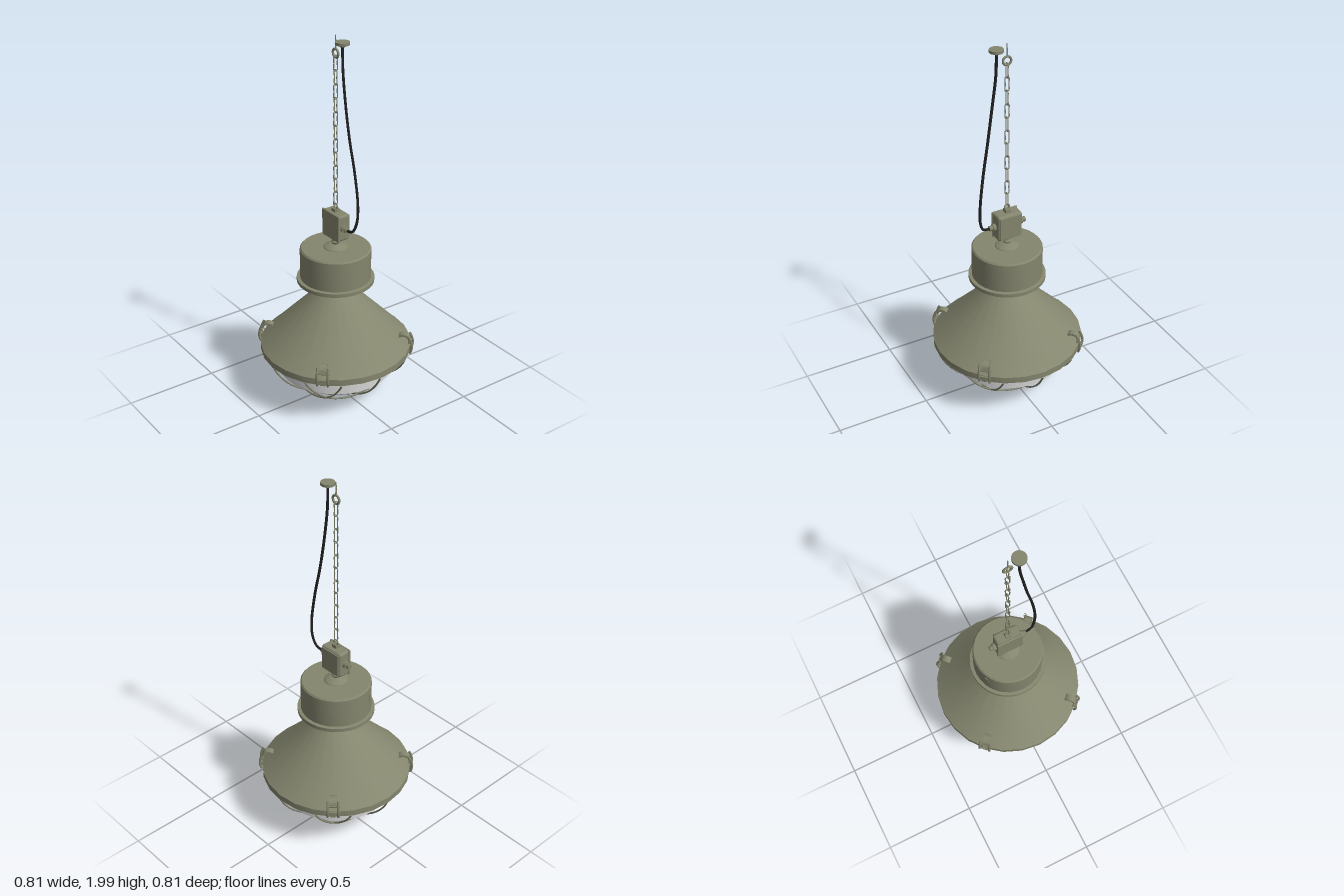
import * as THREE from 'three';
import { toCreasedNormals } from 'three/addons/utils/BufferGeometryUtils.js';
import { RoundedBoxGeometry } from 'three/addons/geometries/RoundedBoxGeometry.js';

const paint = new THREE.MeshStandardMaterial({ color: 0x84866e });
paint.name = 'olive paint';
const glass = new THREE.MeshStandardMaterial({ color: 0xd8d8d8 });
glass.name = 'pale glass';
const rubber = new THREE.MeshStandardMaterial({ color: 0x222222 });
rubber.name = 'black rubber';

const v3 = (p) => new THREE.Vector3(...p);

function add(parent, name, geometry, material = paint, pos = [0, 0, 0], rot = [0, 0, 0]) {
  const mesh = new THREE.Mesh(geometry, material);
  mesh.name = name;
  mesh.position.set(...pos);
  mesh.rotation.set(...rot);
  parent.add(mesh);
  return mesh;
}

// Turned part; the profile runs from bottom to top
function turned(points, segments = 24) {
  const profile = points.map(([r, y]) => new THREE.Vector2(r, y));
  return toCreasedNormals(new THREE.LatheGeometry(profile, segments), 0.5);
}

function wire(points, radius, { steps = 24, sides = 6, closed = false } = {}) {
  const curve = new THREE.CatmullRomCurve3(points.map(v3), closed);
  return new THREE.TubeGeometry(curve, steps, radius, sides, closed);
}

// Ribbed upper band and smooth lower bowl
function glassGeometry() {
  const R = 0.4, cy = 0.422, ribs = 6, y0 = 0.148, y1 = 0.272;
  const radiusAt = (y) => Math.sqrt(R * R - (cy - y) ** 2);
  const points = [];
  const edge = Math.asin(radiusAt(y0) / R);
  for (let i = 0; i <= 10; i++) {
    const a = (edge * i) / 10;
    points.push([R * Math.sin(a), cy - R * Math.cos(a)]);
  }
  const h = (y1 - y0) / ribs;
  for (let i = 0; i < ribs; i++) {
    const y = y0 + i * h, r = radiusAt(y + h);
    points.push([r, y + h * 0.3], [r, y + h * 0.95], [r - 0.002, y + h]);
  }
  return turned(points, 32);
}

// Guard wires lie on a sphere, three in each direction
function makeCage() {
  const cage = new THREE.Group();
  cage.name = 'wireCage';
  const R = 0.438, cy = 0.448, rim = 0.398;
  for (const turn of [0, Math.PI / 2]) {
    for (const offset of [-0.205, 0, 0.205]) {
      const half = Math.sqrt(rim * rim - offset * offset);
      const points = [];
      for (let i = 0; i <= 16; i++) {
        const x = -half * Math.cos((Math.PI * i) / 16);
        points.push([x, cy - Math.sqrt(R * R - x * x - offset * offset), offset]);
      }
      add(cage, 'cageWire', wire(points, 0.005, { steps: 32 }), paint, [0, 0, 0], [0, turn, 0]);
    }
  }
  return cage;
}

// Toggle latch; local +z points away from the lamp axis
function makeLatch() {
  const latch = new THREE.Group();
  latch.name = 'latch';
  const s = new THREE.Shape();
  s.moveTo(0.338, 0.36);
  s.quadraticCurveTo(0.36, 0.385, 0.392, 0.368);
  s.quadraticCurveTo(0.405, 0.355, 0.404, 0.34);
  s.lineTo(0.396, 0.34);
  s.quadraticCurveTo(0.395, 0.352, 0.386, 0.358);
  s.quadraticCurveTo(0.362, 0.37, 0.346, 0.352);
  const strap = new THREE.ExtrudeGeometry(s, { depth: 0.036, bevelEnabled: false, curveSegments: 5 });
  strap.rotateY(-Math.PI / 2).translate(0.018, 0, 0);
  add(latch, 'latchLever', toCreasedNormals(strap, 0.6));
  add(latch, 'latchHook', new THREE.BoxGeometry(0.026, 0.03, 0.014), paint, [0, 0.288, 0.406]);
  add(latch, 'latchPin', new THREE.CylinderGeometry(0.006, 0.006, 0.07, 8), paint,
    [0, 0.338, 0.402], [0, 0, Math.PI / 2]);
  for (const side of [-1, 1]) {
    const x = side * 0.028;
    add(latch, 'latchArm', wire([
      [x, 0.27, 0.408], [x, 0.3, 0.417], [x, 0.34, 0.412], [x, 0.37, 0.397],
    ], 0.0065, { steps: 10 }));
  }
  add(latch, 'latchBar', new THREE.CylinderGeometry(0.005, 0.005, 0.06, 8), paint,
    [0, 0.305, 0.414], [0, 0, Math.PI / 2]);
  return latch;
}

// Junction box with cable glands
function makeJunctionBox() {
  const box = new THREE.Group();
  box.name = 'junctionBox';
  add(box, 'boxBody', new RoundedBoxGeometry(0.14, 0.145, 0.074, 3, 0.014), paint, [0, 0.997, -0.003]);
  add(box, 'boxFrontLid', new RoundedBoxGeometry(0.146, 0.148, 0.012, 2, 0.005), paint, [0, 0.997, 0.029]);
  add(box, 'boxBackPlate', new THREE.BoxGeometry(0.12, 0.125, 0.008), paint, [0, 0.997, -0.041]);
  for (const side of [-1, 1]) {
    add(box, 'glandCollar', new THREE.CylinderGeometry(0.02, 0.02, 0.016, 12), paint,
      [side * 0.077, 0.997, 0], [0, 0, Math.PI / 2]);
    add(box, 'glandNut', new THREE.CylinderGeometry(0.014, 0.014, 0.022, 6), paint,
      [side * 0.093, 0.997, 0], [0, 0, Math.PI / 2]);
  }
  add(box, 'topLug', new THREE.BoxGeometry(0.03, 0.022, 0.028), paint, [0, 1.077, 0]);
  add(box, 'topEye', new THREE.TorusGeometry(0.014, 0.004, 8, 16), paint, [0, 1.1, 0]);
  return box;
}

function makeChain() {
  const chain = new THREE.Group();
  chain.name = 'chain';
  const w = 0.01, h = 0.039;
  const link = wire([
    [-w, -h + 0.005, 0], [-w, 0, 0], [-w, h - 0.005, 0], [0, h, 0],
    [w, h - 0.005, 0], [w, 0, 0], [w, -h + 0.005, 0], [0, -h, 0],
  ], 0.003, { steps: 32, closed: true });
  for (let i = 0; i < 11; i++) {
    add(chain, 'chainLink', link, paint, [0, 1.86 - i * 0.0717, 0], [0, i % 2 ? 0 : Math.PI / 2, 0]);
  }
  add(chain, 'ceilingEye', new THREE.TorusGeometry(0.022, 0.006, 8, 20), paint, [0, 1.91, 0]);
  add(chain, 'ceilingScrew', new THREE.CylinderGeometry(0.003, 0.004, 0.068, 8), paint, [0, 1.966, 0]);
  return chain;
}

export function createModel() {
  const lamp = new THREE.Group();
  lamp.name = 'pendantLamp';

  // Shade, glass and guard
  add(lamp, 'shade', turned([
    [0.34, 0.275], [0.385, 0.27], [0.405, 0.27], [0.405, 0.305], [0.397, 0.31],
    [0.095, 0.62], [0.093, 0.69],
  ]));
  add(lamp, 'glassBowl', glassGeometry(), glass);
  lamp.add(makeCage());
  for (let i = 0; i < 4; i++) {
    const latch = makeLatch();
    latch.rotation.y = Math.PI / 4 + (i * Math.PI) / 2;
    lamp.add(latch);
  }

  // Gear housing with a stepped underside
  add(lamp, 'gearHousing', turned([
    [0.08, 0.69], [0.125, 0.69], [0.13, 0.682], [0.155, 0.682], [0.16, 0.69], [0.18, 0.69],
    [0.185, 0.675], [0.205, 0.675], [0.205, 0.695], [0.187, 0.697], [0.187, 0.858],
    [0.18, 0.866], [0, 0.866],
  ], 32));
  add(lamp, 'housingCatch', new THREE.BoxGeometry(0.02, 0.045, 0.008), paint,
    [Math.sin(-1.1) * 0.186, 0.8, Math.cos(-1.1) * 0.186], [0, -1.1, 0]);
  add(lamp, 'stem', turned([
    [0.065, 0.864], [0.062, 0.87], [0.032, 0.886], [0.02, 0.888], [0.024, 0.897],
    [0.018, 0.906], [0.016, 0.93],
  ]));

  // Suspension and supply
  lamp.add(makeJunctionBox(), makeChain());
  add(lamp, 'cable', wire([
    [0.057, 1.97, 0], [0.06, 1.85, 0], [0.082, 1.68, 0], [0.11, 1.5, -0.005], [0.143, 1.32, -0.015],
    [0.164, 1.15, -0.02], [0.162, 1.06, -0.015], [0.14, 1.005, -0.005], [0.095, 0.996, 0],
  ], 0.0072, { steps: 60 }), rubber);
  add(lamp, 'ceilingCap', turned([
    [0, 1.957], [0.016, 1.957], [0.02, 1.966], [0.036, 1.967], [0.036, 1.981], [0, 1.981],
  ]), paint, [0.057, 0, 0]);
  return lamp;
}
